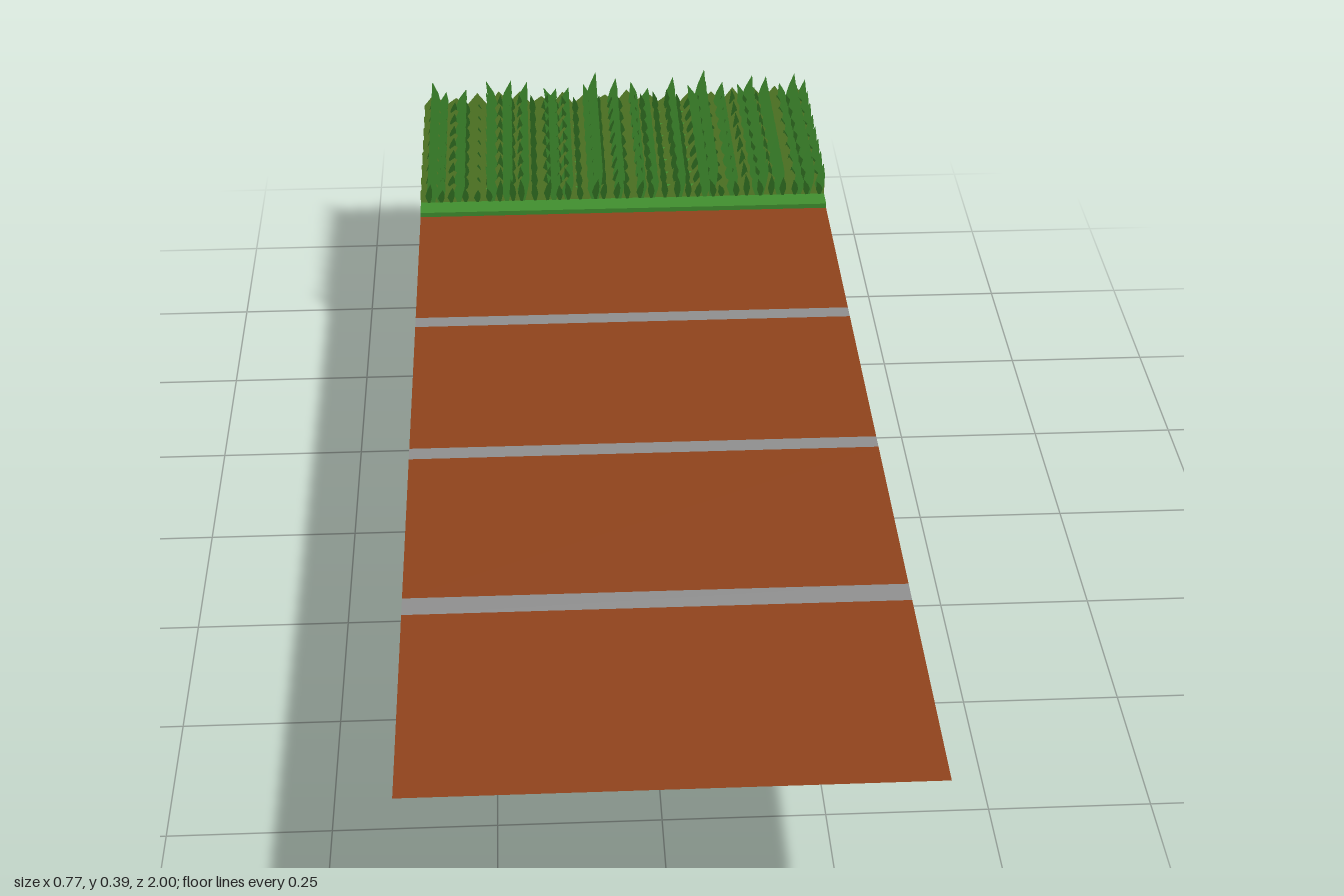
import * as THREE from 'three';
import { mergeGeometries } from 'three/addons/utils/BufferGeometryUtils.js';

const HALF = 0.385;      // half width of the tile
const DECK = 0.293;      // height of the track
const TURF = 0.302;      // height of the grass bed
const EDGE = -0.6;       // where the track meets the grass
const WALL = -0.992;     // plane of the rear earth wall

const paint = (color) => new THREE.MeshStandardMaterial({
  color, side: THREE.DoubleSide, flatShading: true, roughness: 1,
});
const MAT = {
  track: paint(0x90431c), stripe: paint(0x909090), turf: paint(0x41902f),
  bladeLight: paint(0x41902f), bladeDark: paint(0x2f6e20), bladeBack: paint(0x5f8c2c),
  earth: paint(0x855638), rock: paint(0x6b4a31), rockGrey: paint(0x6c5041),
};

function seeded(seed) {
  let s = seed;
  return () => (s = (s * 16807) % 2147483647) / 2147483647;
}

function add(parent, name, geometry, material) {
  const mesh = new THREE.Mesh(geometry, material);
  mesh.name = name;
  parent.add(mesh);
  return mesh;
}

// Horizontal sheet across the full width, from z0 to z1
function sheet(z0, z1, y) {
  const g = new THREE.PlaneGeometry(2 * HALF, z1 - z0);
  return g.rotateX(-Math.PI / 2).translate(0, y, (z0 + z1) / 2);
}

// Upright sheet across the full width, from y0 to y1
const panel = (y0, y1, z) =>
  new THREE.PlaneGeometry(2 * HALF, y1 - y0).translate(0, (y0 + y1) / 2, z);

const polygon = (points) => new THREE.Shape(points.map(([x, y]) => new THREE.Vector2(x, y)));

// One flat leaf: narrow foot, wide belly, leaning tip
function blade(x, top, width, lean, z) {
  const h = top - TURF;
  const clampX = (v) => Math.max(-HALF, Math.min(HALF, v));
  const pts = [
    [x - width * 0.15, TURF], [x + width * 0.2, TURF],
    [x + width * 0.5, TURF + h * 0.35], [x + width * 0.42 + lean * 0.4, TURF + h * 0.65],
    [x + lean, top],
    [x - width * 0.3 + lean * 0.3, TURF + h * 0.65], [x - width * 0.5, TURF + h * 0.35],
  ].map(([a, b]) => [clampX(a), b]);
  return new THREE.ShapeGeometry(polygon(pts)).translate(0, 0, z);
}

// Tip position and height of the tall leaves in a row
const TALL = [
  [-0.367, 0.378], [-0.34, 0.355], [-0.3, 0.36], [-0.26, 0.378], [-0.21, 0.378],
  [-0.178, 0.374], [-0.145, 0.36], [-0.12, 0.358], [-0.095, 0.36], [-0.065, 0.366],
  [-0.04, 0.393], [0, 0.378], [0.03, 0.37], [0.065, 0.355], [0.115, 0.378],
  [0.145, 0.36], [0.178, 0.393], [0.215, 0.365], [0.245, 0.36], [0.275, 0.378],
  [0.303, 0.375], [0.33, 0.36], [0.36, 0.38], [0.382, 0.366],
];

function grassRows() {
  const group = new THREE.Group();
  group.name = 'grass';
  const rand = seeded(41);
  const light = [], dark = [], backing = [];

  TALL.forEach(([tip, top], i) => {
    const lean = (i % 3 === 0 ? -1 : 1) * (0.005 + rand() * 0.008);
    light.push(blade(tip - lean, top, 0.02, lean, 0.001));
  });
  for (let x = -0.375; x < 0.38; x += 0.0225) {
    dark.push(blade(x + rand() * 0.008, 0.328 + rand() * 0.024, 0.013, (rand() - 0.5) * 0.016, 0.002));
  }
  // Low serrated strip behind the leaves
  const n = 36, pts = [[-HALF, TURF]];
  for (let i = 0; i <= n; i++) {
    pts.push([-HALF + (2 * HALF * i) / n, i % 2 ? 0.342 + rand() * 0.014 : 0.322 + rand() * 0.01]);
  }
  pts.push([HALF, TURF]);
  backing.push(new THREE.ShapeGeometry(polygon(pts)));

  const layers = [
    ['lightBlades', mergeGeometries(light), MAT.bladeLight],
    ['darkBlades', mergeGeometries(dark), MAT.bladeDark],
    ['backBlades', mergeGeometries(backing), MAT.bladeBack],
  ];
  const rows = 8;
  for (let r = 0; r < rows; r++) {
    const row = new THREE.Group();
    row.name = 'grassRow';
    row.position.z = -0.64 - (0.353 * r) / (rows - 1);
    layers.forEach(([name, geometry, material]) => add(row, name, geometry, material));
    // Leaves also cover the rear of the strip
    [0, 1].forEach((i) => {
      add(row, layers[i][0] + 'Rear', layers[i][1], layers[i][2]).position.z = -0.003;
    });
    group.add(row);
  }
  return group;
}

// Ragged turf hanging over the rear wall
function overhang() {
  const rand = seeded(7), n = 56, pts = [[HALF, TURF], [-HALF, TURF]];
  for (let i = 0; i <= n; i++) {
    const x = -HALF + (2 * HALF * i) / n;
    const sag = 0.25 + 0.016 * Math.sin(x * 21) + 0.008 * Math.sin(x * 47);
    pts.push([x, sag - (i % 2 ? 0.012 + rand() * 0.022 : 0)]);
  }
  return new THREE.ShapeGeometry(polygon(pts)).translate(0, 0, WALL - 0.003);
}

// Outlines of the stones set in the wall, with their front depth
const ROCKS = [
  [MAT.rock, -0.986, [[-0.357, 0.175], [-0.308, 0.199], [-0.285, 0.18], [-0.281, 0.142], [-0.304, 0.129], [-0.345, 0.142]]],
  [MAT.rock, -0.986, [[-0.165, 0.078], [-0.148, 0.15], [-0.118, 0.154], [-0.09, 0.14], [-0.078, 0.112], [-0.113, 0.07]]],
  [MAT.rockGrey, -0.986, [[0.007, 0.138], [0.02, 0.165], [0.06, 0.17], [0.086, 0.153], [0.06, 0.104], [0.023, 0.11]]],
  [MAT.rockGrey, -0.986, [[-0.274, 0.045], [-0.24, 0.065], [-0.23, 0.058], [-0.227, 0.035], [-0.24, 0.027], [-0.26, 0.03]]],
  [MAT.rock, -0.991, [[0.14, 0.085], [0.17, 0.1], [0.194, 0.062], [0.165, 0.045], [0.145, 0.053]]],
  [MAT.rock, -0.986, [[0.247, 0.13], [0.254, 0.165], [0.302, 0.202], [0.335, 0.183], [0.345, 0.123], [0.32, 0.087]]],
];

export function createModel() {
  const model = new THREE.Group();
  model.name = 'groundTile';

  // Track lanes with stripes set flush between them
  const stripes = [[-0.24, -0.21], [0.165, 0.195], [0.56, 0.6]];
  let z = EDGE;
  for (const [a, b] of stripes) {
    add(model, 'trackLane', sheet(z, a, DECK), MAT.track);
    add(model, 'stripe', sheet(a, b, DECK), MAT.stripe);
    z = b;
  }
  add(model, 'trackLane', sheet(z, 1, DECK), MAT.track);

  // Grass bed with its small front step
  add(model, 'grassBed', sheet(WALL, EDGE, TURF), MAT.turf);
  add(model, 'grassStep', panel(DECK, TURF, EDGE), MAT.turf);
  model.add(grassRows());

  // Rear earth wall, hanging turf and stones
  add(model, 'earthWall', panel(0, TURF, WALL), MAT.earth);
  add(model, 'turfOverhang', overhang(), MAT.turf);
  for (const [material, front, outline] of ROCKS) {
    const geometry = new THREE.ExtrudeGeometry(polygon(outline), { depth: front + 1, bevelEnabled: false });
    add(model, 'rock', geometry.translate(0, 0, -1), material);
  }
  return model;
}
